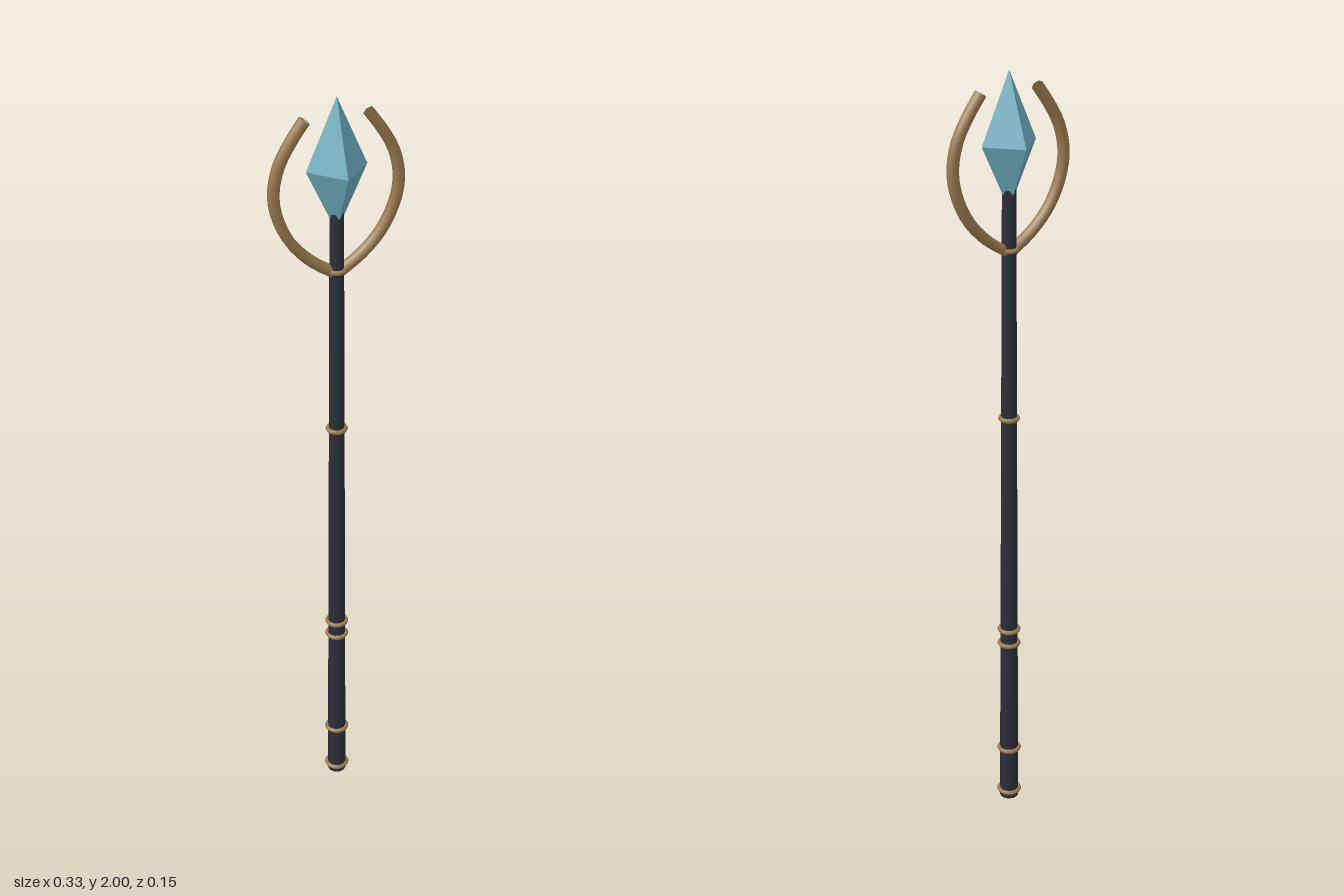
import * as THREE from 'three';

const mat = (color, extra = {}) => new THREE.MeshStandardMaterial({ color, ...extra });

export function createModel() {
  const group = new THREE.Group();
  const wood = mat(0x2b2f3a);
  const bronze = mat(0x9c7c50, { side: THREE.DoubleSide });
  const crystalMat = mat(0x6fafbf, { flatShading: true });

  const add = (name, geometry, material, y = 0) => {
    const mesh = new THREE.Mesh(geometry, material);
    mesh.name = name;
    mesh.position.y = y;
    group.add(mesh);
    return mesh;
  };

  // Tapered shaft, running up into the crystal
  const bottomR = 0.025, topR = 0.017, height = 1.72;
  add('shaft', new THREE.CylinderGeometry(topR, bottomR, height, 12), wood, height / 2);

  // Thin binding rings that hug the shaft
  for (const y of [0.02, 0.155, 0.485, 0.527, 1.133, 1.572]) {
    const r = THREE.MathUtils.lerp(bottomR, topR, y / height) + 0.002;
    const ring = new THREE.TorusGeometry(r, 0.006, 6, 20);
    ring.rotateX(Math.PI / 2);
    add('bindingRing', ring, bronze, y);
  }

  // Two curved prongs around the crystal
  for (const side of [1, -1]) {
    const points = [
      [0, 1.562], [0.062, 1.605], [0.112, 1.66], [0.144, 1.73],
      [0.152, 1.79], [0.138, 1.855], [0.108, 1.91], [0.076, 1.955],
    ].map(([x, y]) => new THREE.Vector3(x * side, y, 0));
    const curve = new THREE.CatmullRomCurve3(points);
    add(side > 0 ? 'leftProng' : 'rightProng', new THREE.TubeGeometry(curve, 20, 0.0145, 6), bronze);
  }

  // Four-sided crystal: a tall point above, a shorter one below
  const waist = 1.83, tip = 2, foot = 1.67, radius = 0.074;
  const profile = [[0, foot], [radius, waist], [0, tip]].map(([x, y]) => new THREE.Vector2(x, y));
  add('crystal', new THREE.LatheGeometry(profile, 4), crystalMat);

  return group;
}
